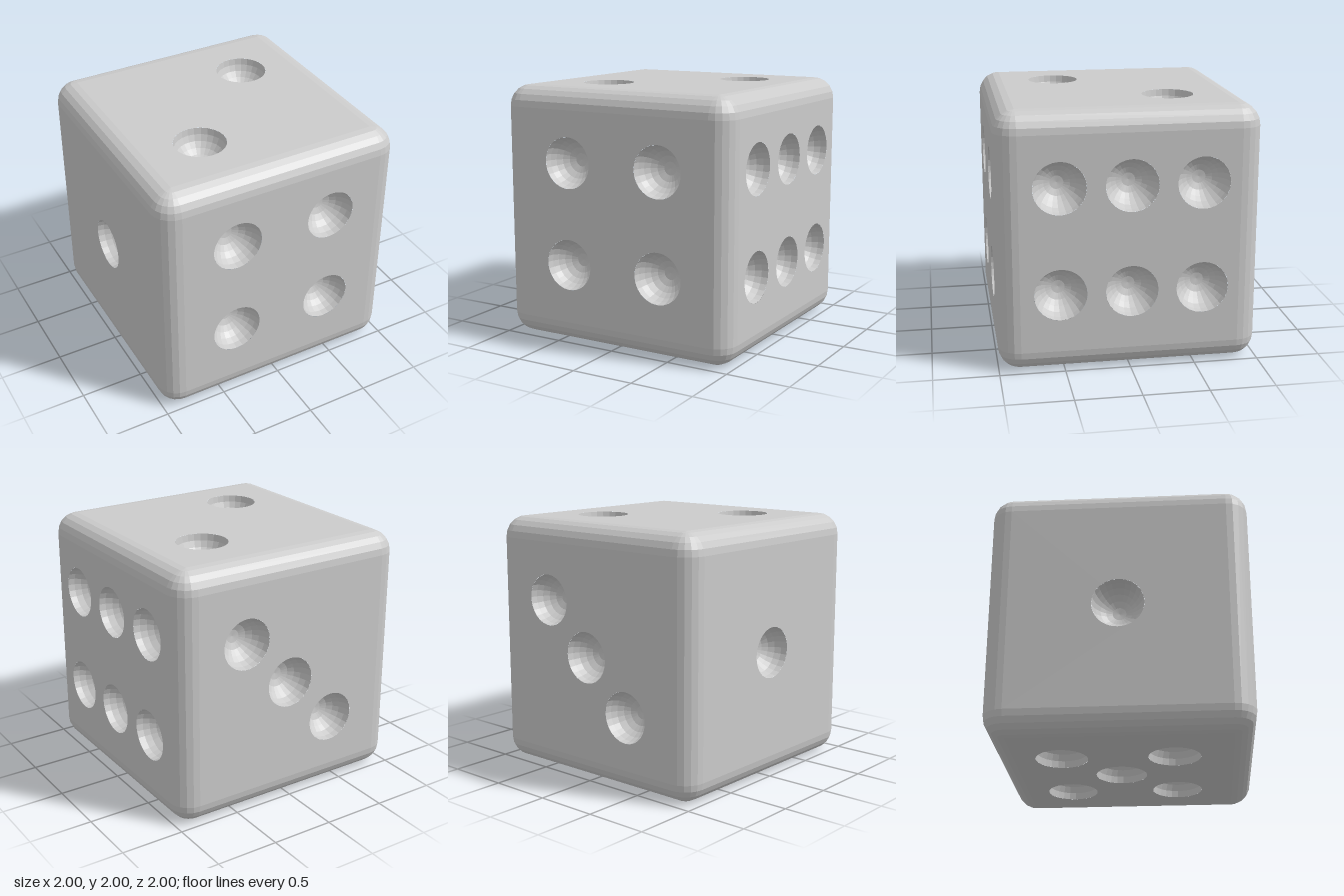
import * as THREE from 'three';

const R = 0.166;        // edge rounding
const H = 1 - R;        // half size of a flat face
const PIT = 0.2;        // pit radius
const SEG = 24;

const material = new THREE.MeshStandardMaterial({ color: 0xcccccc, flatShading: true });

function mesh(name, geometry) {
  const m = new THREE.Mesh(geometry, material);
  m.name = name;
  return m;
}

// Hemispherical bowl opening toward +z, profile runs from rim to bottom
function pitGeometry() {
  const profile = [];
  for (let i = 0; i <= 6; i++) {
    const a = (i / 6) * Math.PI / 2;
    profile.push(new THREE.Vector2(i === 6 ? 0 : PIT * Math.cos(a), -PIT * Math.sin(a)));
  }
  return new THREE.LatheGeometry(profile, SEG).rotateX(Math.PI / 2);
}

// Flat square face with round openings and a bowl behind each of them
function face(name, spots, bowl) {
  const g = new THREE.Group();
  g.name = name;
  const s = new THREE.Shape([[-H, -H], [H, -H], [H, H], [-H, H]].map(p => new THREE.Vector2(...p)));
  for (const [u, v] of spots) {
    s.holes.push(new THREE.Path().absarc(u, v, PIT, 0, Math.PI * 2, true));
    const pit = mesh('pit', bowl);
    pit.position.set(u, v, 1);
    g.add(pit);
  }
  const plate = mesh('facePlate', new THREE.ShapeGeometry(s, SEG));
  plate.position.z = 1;
  g.add(plate);
  return g;
}

export function createModel() {
  const model = new THREE.Group();
  model.name = 'die';
  const body = new THREE.Group();
  body.name = 'body';
  body.position.y = 1;
  model.add(body);

  // Six faces: name, rotation about x, rotation about y, pit centres
  const q = Math.PI / 2;
  const bowl = pitGeometry();
  const faces = [
    ['frontFace', 0, 0, [[-0.385, 0.43], [0.415, 0.43], [-0.385, -0.37], [0.415, -0.37]]],
    ['rightFace', 0, q, [-0.53, 0.01, 0.55].flatMap(u => [[u, 0.435], [u, -0.385]])],
    ['backFace', 0, 2 * q, [[-0.42, 0.38], [-0.02, -0.02], [0.38, -0.42]]],
    ['leftFace', 0, -q, [[0, 0]]],
    ['topFace', -q, 0, [[0.415, 0.385], [-0.385, -0.415]]],
    ['bottomFace', q, 0, [[0.03, -0.04], [0.43, 0.39], [-0.37, 0.39], [0.43, -0.47], [-0.37, -0.47]]],
  ];
  for (const [name, rx, ry, spots] of faces) {
    const f = face(name, spots, bowl);
    f.rotation.set(rx, ry, 0);
    body.add(f);
  }

  // Twelve rounded edges: four per axis
  const edge = new THREE.CylinderGeometry(R, R, 2 * H, 5, 1, true, 0, q).translate(H, 0, H);
  for (const [rx, rz] of [[0, 0], [q, 0], [0, q]]) {
    const set = new THREE.Group();
    set.name = 'edgeSet';
    set.rotation.set(rx, 0, rz);
    for (let i = 0; i < 4; i++) {
      const e = mesh('roundedEdge', edge);
      e.rotation.y = i * q;
      set.add(e);
    }
    body.add(set);
  }

  // Eight rounded corners: four on top, four below
  const corner = new THREE.SphereGeometry(R, 5, 5, q, q, 0, q).translate(H, H, H);
  for (const rx of [0, Math.PI]) {
    const set = new THREE.Group();
    set.name = 'cornerSet';
    set.rotation.x = rx;
    for (let i = 0; i < 4; i++) {
      const c = mesh('roundedCorner', corner);
      c.rotation.y = i * q;
      set.add(c);
    }
    body.add(set);
  }
  return model;
}
